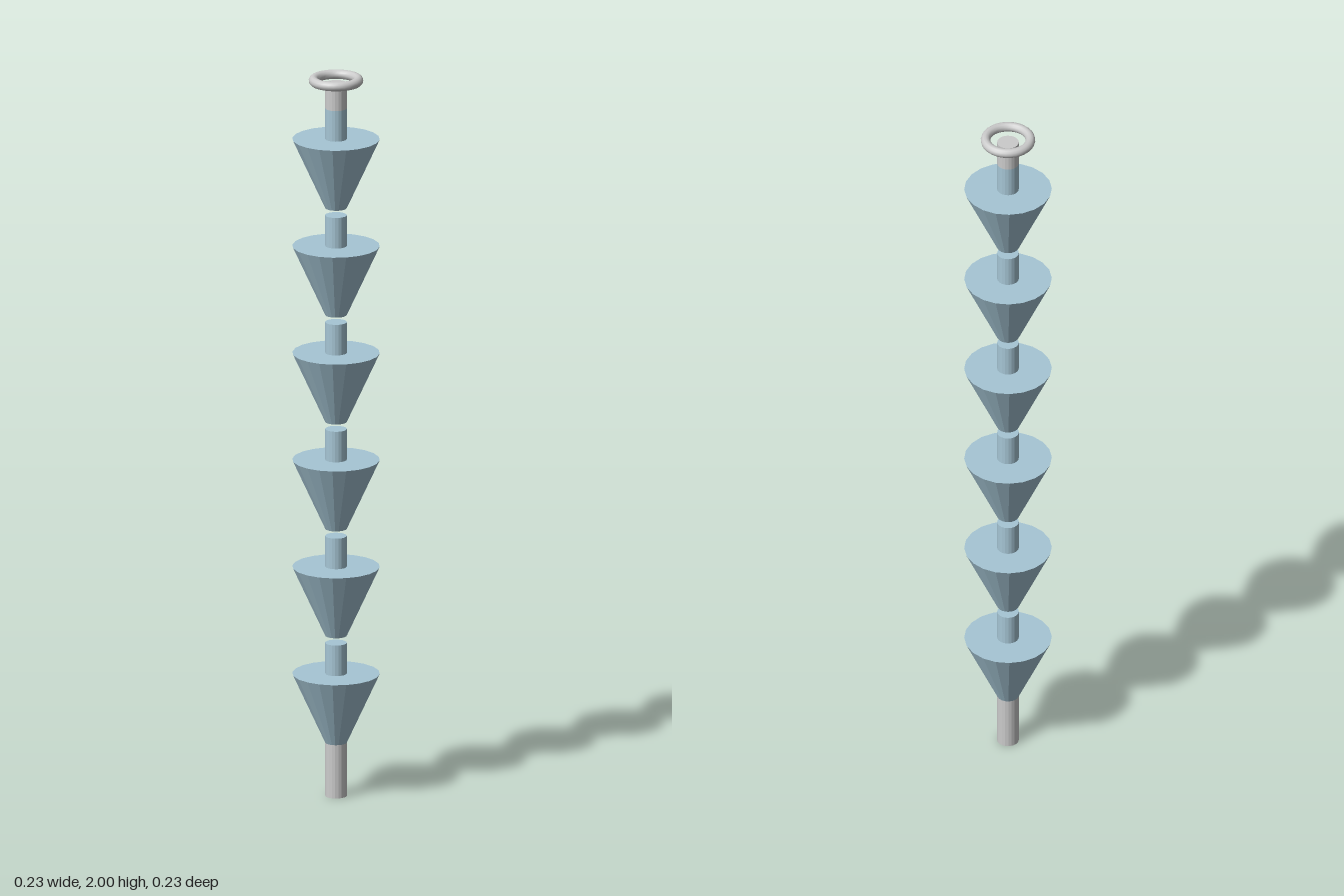
import * as THREE from 'three';

const SIDES = 20;
const ROD_RADIUS = 0.029;

export function createModel() {
  const model = new THREE.Group();
  model.name = 'hangingConeChain';
  const grey = new THREE.MeshStandardMaterial({ color: 0xcccccc, flatShading: true });
  const smoothGrey = new THREE.MeshStandardMaterial({ color: 0xcccccc });
  const blue = new THREE.MeshStandardMaterial({ color: 0xa6c6d5, flatShading: true });

  // Capped cylinder or truncated cone between two heights
  function column(name, bottom, top, rBottom, rTop, material, parent = model) {
    const geometry = new THREE.CylinderGeometry(rTop, rBottom, top - bottom, SIDES);
    const mesh = new THREE.Mesh(geometry, material);
    mesh.name = name;
    mesh.position.y = (bottom + top) / 2;
    parent.add(mesh);
  }

  // Bottom outlet
  column('bottomRod', 0, 0.148, ROD_RADIUS, ROD_RADIUS, grey);

  // Six funnels with short necks, separated by small gaps
  for (let i = 0; i < 6; i++) {
    const cup = new THREE.Group();
    cup.name = `cup${i + 1}`;
    cup.position.y = 0.148 + i * 0.297;
    column('cone', 0, 0.192, ROD_RADIUS, 0.117, blue, cup);
    column('neck', 0.192, 0.277, ROD_RADIUS, ROD_RADIUS, blue, cup);
    model.add(cup);
  }

  // Top rod and hanging ring
  column('topRod', 1.91, 1.98, ROD_RADIUS, ROD_RADIUS, grey);
  const ring = new THREE.Mesh(new THREE.TorusGeometry(0.06, 0.013, 12, 32), smoothGrey);
  ring.name = 'topRing';
  ring.rotation.x = Math.PI / 2;
  ring.position.y = 1.987;
  model.add(ring);

  return model;
}
